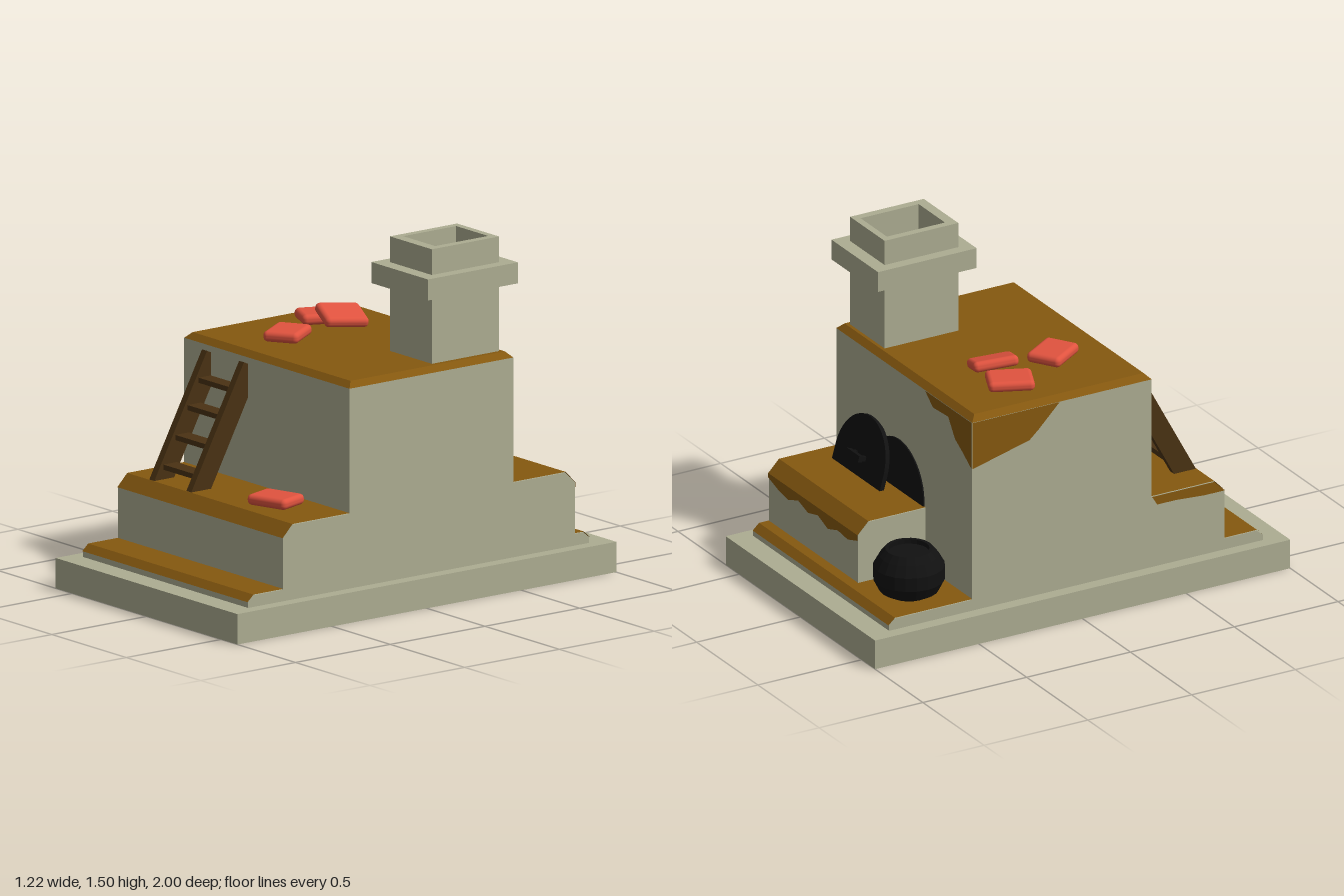
import * as THREE from 'three';
import { RoundedBoxGeometry } from 'three/addons/geometries/RoundedBoxGeometry.js';

const mat = (color, extra = {}) => new THREE.MeshStandardMaterial({ color, flatShading: true, ...extra });
const W = 0.555; // half width of the stove

export function createModel() {
  const model = new THREE.Group();
  const plaster = mat(0xadad92);
  const clay = mat(0x85580f, { side: THREE.DoubleSide });
  const wood = mat(0x4a3213);
  const iron = mat(0x111111);
  const cloth = new THREE.MeshStandardMaterial({ color: 0xe0533f });

  const add = (name, geometry, material, parent = model) => {
    const mesh = new THREE.Mesh(geometry, material);
    mesh.name = name;
    parent.add(mesh);
    return mesh;
  };
  // box given by its limits on each axis
  const block = (name, [x0, x1], [y0, y1], [z0, z1], material) => {
    const mesh = add(name, new THREE.BoxGeometry(x1 - x0, y1 - y0, z1 - z0), material);
    mesh.position.set((x0 + x1) / 2, (y0 + y1) / 2, (z0 + z1) / 2);
    return mesh;
  };
  const shapeOf = (points) => new THREE.Shape(points.map(([a, b]) => new THREE.Vector2(a, b)));
  // solid with a (z, y) outline, running from x0 to x1
  const profile = (name, points, x0, x1, material) => {
    const geometry = new THREE.ExtrudeGeometry(shapeOf(points), { depth: x1 - x0, bevelEnabled: false });
    geometry.rotateY(-Math.PI / 2).translate(x1, 0, 0);
    return add(name, geometry, material);
  };
  // thin coat over a (z, y) line, running from x0 to x1
  const coat = (name, line, x0, x1) => {
    const positions = line.flatMap(([z, y]) => [x0, y, z, x1, y, z]);
    const index = [];
    for (let i = 0; i < line.length - 1; i++) {
      const a = i * 2;
      index.push(a, a + 1, a + 2, a + 1, a + 3, a + 2);
    }
    const geometry = new THREE.BufferGeometry();
    geometry.setAttribute('position', new THREE.Float32BufferAttribute(positions, 3));
    geometry.setIndex(index);
    geometry.computeVertexNormals();
    return add(name, geometry, clay);
  };

  // base slab and low step
  block('base', [-0.61, 0.61], [0, 0.13], [-1, 1], plaster);
  profile('step', [[0.9, 0.13], [0.9, 0.155], [0.87, 0.18], [-0.87, 0.18], [-0.9, 0.155], [-0.9, 0.13]], -W, W, plaster);
  coat('stepCoat', [[0.903, 0.155], [0.872, 0.183], [-0.872, 0.183], [-0.903, 0.155]], -W, W);

  // ledges in front and behind
  const ledge = (name, s, inner, outer, x0, x1) => {
    const pts = [[inner, 0.15], [outer, 0.15], [outer, 0.4], [outer - 0.05, 0.45], [inner, 0.45]];
    profile(name, pts.map(([z, y]) => [s * z, y]), x0, x1, plaster);
    const line = [[outer + 0.003, 0.4], [outer - 0.049, 0.453], [inner, 0.453]];
    coat(name + 'Coat', line.map(([z, y]) => [s * z, y]), x0, x1);
  };
  ledge('frontLedge', 1, 0.36, 0.715, -W, W);
  ledge('backLedge', -1, 0.49, 0.825, -0.175, W);

  // main body with a bevelled clay top
  block('body', [-W, W], [0.15, 0.985], [-0.5, 0.365], plaster);
  const cap = block('bodyTop', [-W, W], [0.985, 1.01], [-0.5, 0.365], clay);
  const p = cap.geometry.attributes.position;
  for (let i = 0; i < p.count; i++) {
    if (p.getY(i) > 0) {
      p.setX(i, p.getX(i) - Math.sign(p.getX(i)) * 0.025);
      p.setZ(i, p.getZ(i) - Math.sign(p.getZ(i)) * 0.025);
    }
  }
  cap.geometry.computeVertexNormals();

  // bare patches where the plaster has broken off
  add('backPatch', new THREE.ShapeGeometry(shapeOf([[-W, 0.985], [-W, 0.775], [-0.48, 0.825],
    [-0.42, 0.86], [-0.364, 0.94], [-0.24, 0.933], [-0.175, 0.985]])), clay).position.z = -0.503;
  const sidePatch = (name, points) => {
    const mesh = add(name, new THREE.ShapeGeometry(shapeOf(points)), clay);
    mesh.rotation.y = -Math.PI / 2;
    mesh.position.x = -W - 0.003;
  };
  sidePatch('sidePatch', [[-0.5, 0.985], [-0.5, 0.775], [-0.225, 0.845], [-0.18, 0.885], [-0.08, 0.985]]);
  sidePatch('ledgeSidePatch', [[0.365, 0.45], [0.39, 0.41], [0.48, 0.41], [0.62, 0.4], [0.715, 0.4], [0.665, 0.45]]);
  const jag = [0.375, 0.35, 0.36, 0.335, 0.365, 0.345, 0.37, 0.34, 0.355, 0.38];
  const ragged = jag.map((y, i) => [-0.175 + (0.73 * i) / (jag.length - 1), y]);
  add('ledgeBackPatch', new THREE.ShapeGeometry(shapeOf([[-0.175, 0.4], ...ragged, [W, 0.4]])), clay).position.z = -0.828;

  // chimney with a hollow flue and a collar
  const tube = (name, [x0, x1], [y0, y1], [z0, z1]) => {
    const shape = shapeOf([[x0, -z0], [x0, -z1], [x1, -z1], [x1, -z0]]);
    shape.holes.push(shapeOf([[0.26, 0.15], [0.475, 0.15], [0.475, 0.43], [0.26, 0.43]]));
    const geometry = new THREE.ExtrudeGeometry(shape, { depth: y1 - y0, bevelEnabled: false });
    geometry.rotateX(-Math.PI / 2).translate(0, y0, 0);
    add(name, geometry, plaster);
  };
  tube('chimney', [0.228, 0.51], [1.0, 1.5], [-0.46, -0.105]);
  tube('chimneyCollar', [0.18, 0.56], [1.3, 1.39], [-0.52, -0.045]);
  block('flueSoot', [0.25, 0.485], [1.34, 1.36], [-0.44, -0.14], iron);

  // arched oven mouth and the lid leaning beside it
  const arch = (r, straight, depth) => {
    const shape = new THREE.Shape();
    shape.moveTo(-r, 0);
    shape.lineTo(r, 0);
    shape.absarc(0, straight, r, 0, Math.PI, false);
    shape.closePath();
    return new THREE.ExtrudeGeometry(shape, { depth, bevelEnabled: false, curveSegments: 16 });
  };
  add('ovenMouth', arch(0.205, 0.025, 0.01), iron).position.set(0.04, 0.45, -0.506);
  const lid = new THREE.Group();
  lid.name = 'ovenLid';
  lid.position.set(0.255, 0.453, -0.583);
  lid.rotation.x = 0.27;
  model.add(lid);
  add('lidPlate', arch(0.195, 0.065, 0.02), iron, lid);
  add('lidHandle', new THREE.BoxGeometry(0.1, 0.028, 0.02), iron, lid).position.set(0, 0.085, -0.03);
  for (const s of [-1, 1]) {
    add('handlePost', new THREE.BoxGeometry(0.018, 0.02, 0.03), iron, lid).position.set(s * 0.035, 0.085, -0.012);
  }

  // cooking pot
  const potLine = [[0, 0.18], [0.08, 0.18], [0.125, 0.205], [0.15, 0.255], [0.15, 0.315], [0.125, 0.36],
    [0.1, 0.39], [0.085, 0.39], [0.085, 0.37], [0, 0.37]].map(([r, y]) => new THREE.Vector2(r, y));
  add('pot', new THREE.LatheGeometry(potLine, 20), iron).position.set(-0.37, 0, -0.695);

  // ladder against the front wall
  const rail = [[0.665, 0.45], [0.385, 0.967], [0.363, 0.957], [0.363, 0.815], [0.56, 0.45]];
  profile('ladderRail', rail, -0.41, -0.376, wood);
  profile('ladderRail', rail, -0.161, -0.128, wood);
  for (const y of [0.505, 0.622, 0.74, 0.848]) {
    const z = 0.61 - (y - 0.45) * 0.542;
    block('ladderRung', [-0.38, -0.155], [y - 0.011, y + 0.011], [z - 0.035, z + 0.035], wood);
  }

  // cushions: position, turn, tilt
  for (const [x, y, z, turn, tilt] of [
    [0.247, 0.475, 0.512, 0.3, 0],
    [-0.205, 1.033, 0.095, -1.0, 0],
    [-0.355, 1.033, -0.2, 1.16, 0],
    [-0.215, 1.062, -0.2, 1.27, -0.3],
  ]) {
    const holder = new THREE.Group();
    holder.name = 'cushion';
    holder.position.set(x, y, z);
    holder.rotation.z = tilt;
    model.add(holder);
    add('cushionPad', new RoundedBoxGeometry(0.195, 0.046, 0.155, 3, 0.02), cloth, holder).rotation.y = turn;
  }
  return model;
}
